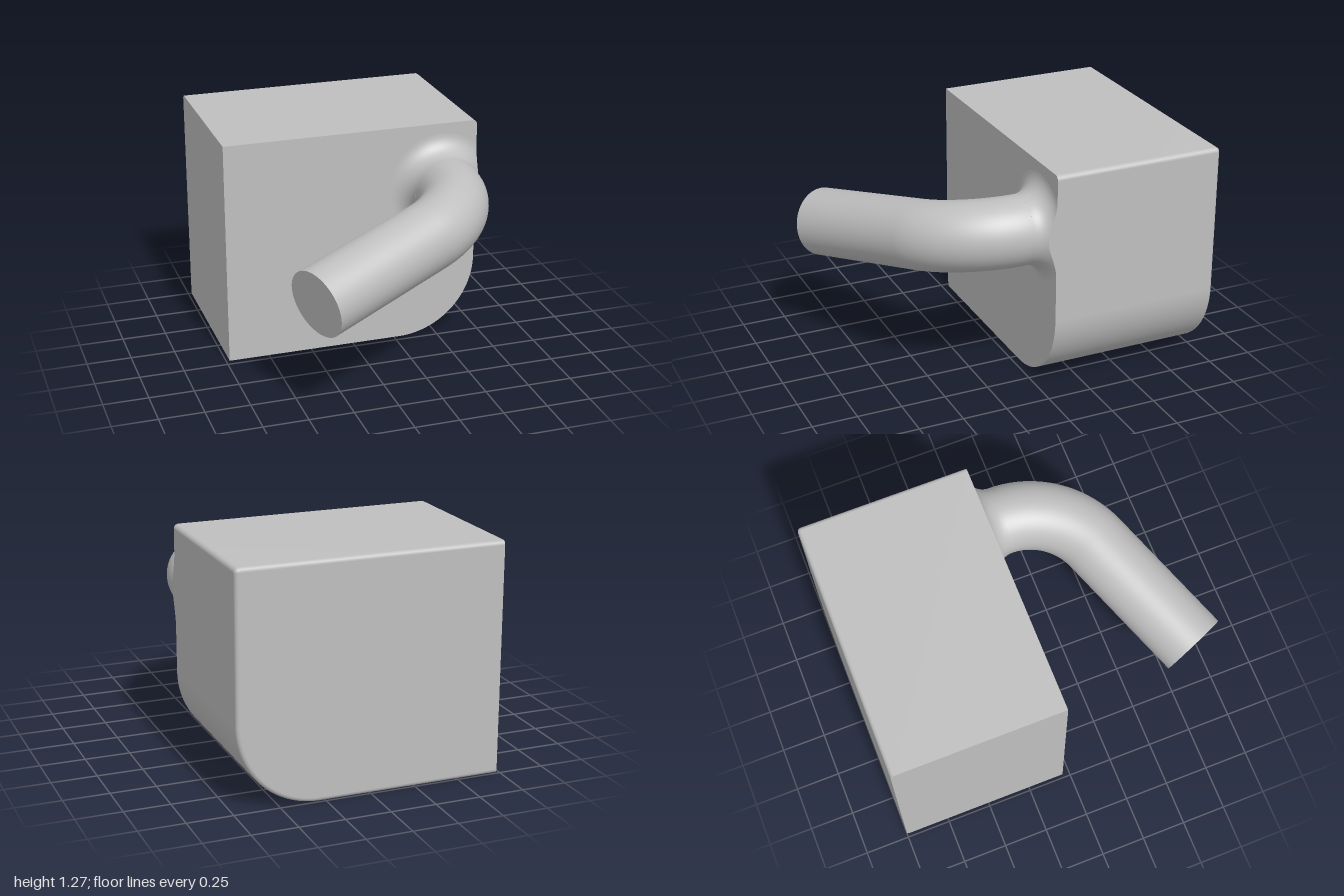
import * as THREE from 'three';

const V = (x, y, z) => new THREE.Vector3(x, y, z);
const W = 0.73, H = 1.275, FRONT = -0.04, BACK = -1, EDGE = 0.022; // block
const CX = 0.52, CY = 0.915, R = 0.19, FIL = 0.11;                 // pipe root and its fillet
const BEND = 0.49, ANGLE = 1.173, SIDES = 64;                      // pipe bend

// Surface through rows of points; faces look along (column direction) x (row direction).
function strip(rows, closed = false) {
  const n = rows[0].length, index = [];
  for (let i = 0; i < rows.length - 1; i++) {
    for (let j = 0; j < (closed ? n : n - 1); j++) {
      const k = (j + 1) % n, a = i * n + j, b = i * n + k;
      index.push(a, b, a + n, b, b + n, a + n);
    }
  }
  const g = new THREE.BufferGeometry().setFromPoints(rows.flat());
  g.setIndex(index);
  g.computeVertexNormals();
  return g;
}

// Flat convex face, corners counter-clockwise from outside.
function fan(points) {
  const index = [];
  for (let i = 1; i < points.length - 1; i++) index.push(0, i, i + 1);
  const g = new THREE.BufferGeometry().setFromPoints(points);
  g.setIndex(index);
  g.computeVertexNormals();
  return g;
}

// Block outline pulled in by d (the left edge stays put), from top left round to bottom left.
function outline(d, z) {
  const pts = [V(-W, H - d, z)];
  const corner = (r, from, cy, steps) => {
    for (let i = 0; i <= steps; i++) {
      const a = from - (i / steps) * Math.PI / 2;
      pts.push(V(W - r + (r - d) * Math.cos(a), cy + (r - d) * Math.sin(a), z));
    }
  };
  corner(0.026, Math.PI / 2, H - 0.026, 6);
  corner(0.45, 0, 0.45, 32);
  pts.push(V(-W, d, z));
  return pts;
}

export function createModel() {
  const group = new THREE.Group();
  const grey = new THREE.MeshStandardMaterial({ color: 0xbfbfbf });
  grey.name = 'plain grey';
  const add = (name, geometry) => {
    const mesh = new THREE.Mesh(geometry, grey);
    mesh.name = name;
    group.add(mesh);
  };

  // Block with a rounded back edge
  const rows = [outline(0, FRONT)];
  for (let i = 0; i <= 6; i++) {
    const a = (i / 6) * Math.PI / 2;
    rows.push(outline(EDGE * (1 - Math.cos(a)), BACK + EDGE * (1 - Math.sin(a))));
  }
  add('blockWalls', strip(rows));
  add('blockFront', fan([...rows[0]].reverse()));
  add('blockBack', fan(rows[rows.length - 1]));
  add('blockSide', fan([...rows.map(r => r[0]), ...rows.map(r => r[r.length - 1]).reverse()]));

  // Fillet at the pipe root, trimmed flush with the block's side
  const fillet = [];
  for (let i = 0; i <= 12; i++) {
    const row = [];
    for (let j = 0; j < SIDES * 2; j++) {
      const phi = Math.PI + j * Math.PI / SIDES, c = Math.cos(phi);
      const rMax = c > 0 ? Math.min(R + FIL, (W - CX) / c) : R + FIL;
      const a0 = Math.asin((R + FIL - rMax) / FIL);
      const a = a0 + (Math.PI / 2 - a0) * i / 12;
      const r = R + FIL - FIL * Math.sin(a);
      row.push(V(CX + r * c, CY + r * Math.sin(phi), FRONT + FIL - FIL * Math.cos(a)));
    }
    fillet.push(row);
  }
  add('rootFillet', strip(fillet, true));

  // Small side face that fills the trimmed part of the fillet
  const half = Math.sqrt((R + FIL) ** 2 - (W - CX) ** 2), base = [], crest = [];
  for (let i = 0; i <= 32; i++) {
    const y = half * (i / 16 - 1), gap = R + FIL - Math.hypot(y, W - CX);
    const z = FRONT + FIL - Math.sqrt(Math.max(0, FIL ** 2 - gap ** 2));
    base.push(V(W, CY + y, FRONT));
    crest.push(V(W, CY + y, z));
  }
  add('filletSide', strip([base, crest]));

  // Bent pipe: an arc in a tilted plane, then a straight run
  const u = V(-1, -0.22, 0).normalize(), zAxis = V(0, 0, 1), w = u.clone().cross(zAxis);
  const root = V(CX, CY, FRONT + FIL);
  const ring = (theta, run) => {
    const s = Math.sin(theta), c = Math.cos(theta);
    const centre = root.clone().addScaledVector(u, BEND * (1 - c) + run * s)
      .addScaledVector(zAxis, BEND * s + run * c);
    const n = u.clone().multiplyScalar(-c).addScaledVector(zAxis, s);
    return Array.from({ length: SIDES }, (_, j) => {
      const phi = j * 2 * Math.PI / SIDES;
      return centre.clone().addScaledVector(n, R * Math.cos(phi)).addScaledVector(w, R * Math.sin(phi));
    });
  };
  const pipe = [];
  for (let i = 0; i <= 32; i++) pipe.push(ring(ANGLE * i / 32, 0));
  pipe.push(ring(ANGLE, 0.78));
  add('pipe', strip(pipe, true));
  add('pipeEnd', fan(pipe[pipe.length - 1]));

  return group;
}
